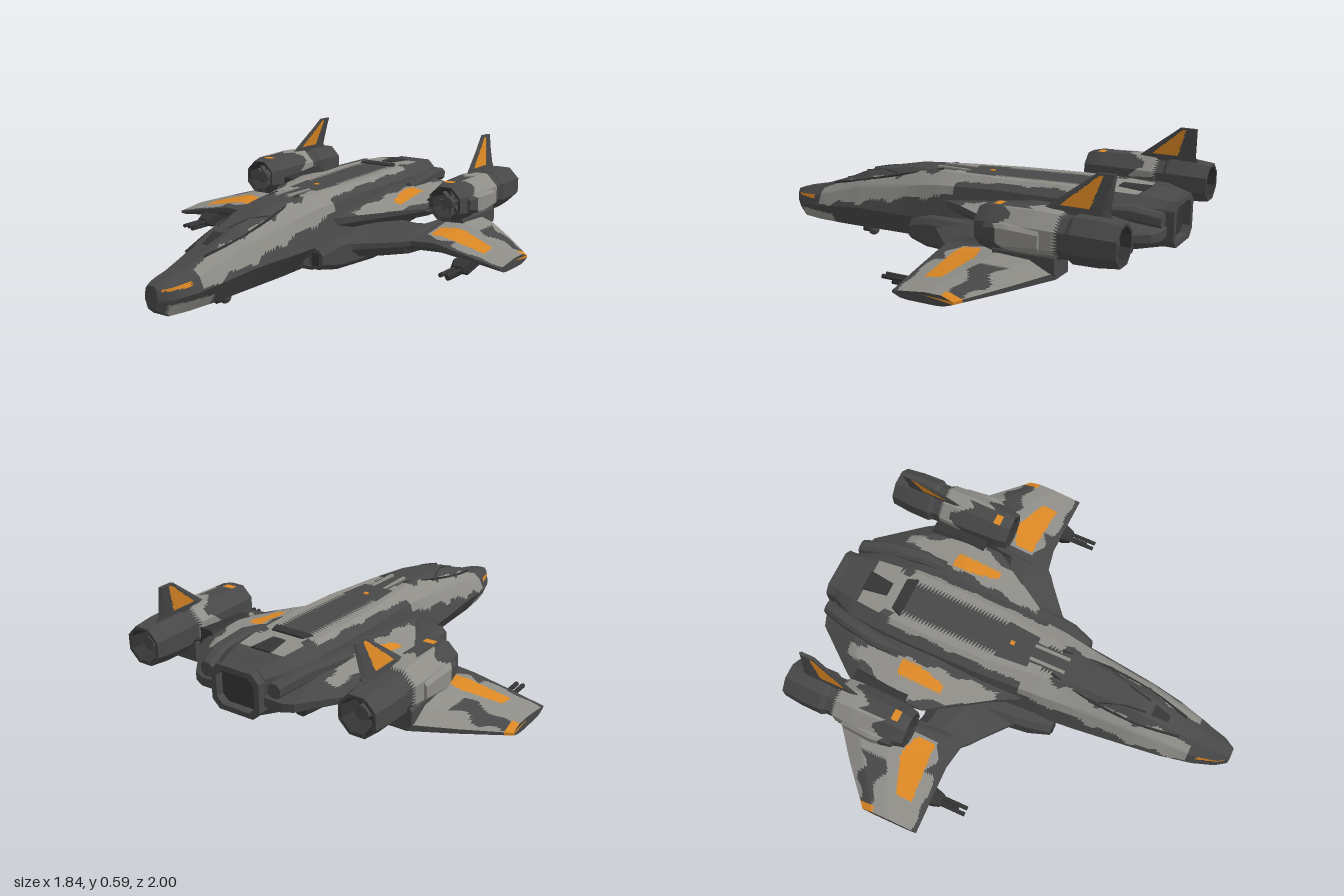
import * as THREE from 'three';
import { toCreasedNormals, mergeGeometries } from 'three/addons/utils/BufferGeometryUtils.js';

const mat = (name, color) => Object.assign(new THREE.MeshStandardMaterial({ color }), { name });
const dark = mat('dark grey', 0x484848), light = mat('light grey', 0x8e8d88),
  orange = mat('orange', 0xdc8824), black = mat('gunmetal', 0x343434);
const PAINT = [dark, light, orange, black];
const DARK = 0, LIGHT = 1, ORANGE = 2, BLACK = 3;
const lerp = THREE.MathUtils.lerp;

// Insert evenly spaced rows between key rows (first column is the station)
function densify(rows, step) {
  const out = [];
  for (let i = 0; i + 1 < rows.length; i++) {
    const n = Math.max(1, Math.round(Math.abs(rows[i + 1][0] - rows[i][0]) / step));
    for (let k = 0; k < n; k++) out.push(rows[i].map((v, c) => lerp(v, rows[i + 1][c], k / n)));
  }
  out.push(rows[rows.length - 1]);
  return out;
}
// Subdivide a closed outline
const subdivide = (pts, n) => pts.flatMap((p, i) => {
  const q = pts[(i + 1) % pts.length];
  return Array.from({ length: n }, (_, k) => p.map((v, c) => lerp(v, q[c], k / n)));
});
// Closed skin through equal rings, capped at both ends and wound outwards
function loft(rings, crease = 0.45) {
  const n = rings[0].length, pos = rings.flat(2), idx = [];
  rings.slice(0, -1).forEach((_, r) => {
    for (let i = 0; i < n; i++) {
      const a = r * n + i, b = r * n + (i + 1) % n;
      idx.push(a, b, a + n, b, b + n, a + n);
    }
  });
  [0, rings.length - 1].forEach((r, end) => {
    const c = pos.length / 3;
    for (let k = 0; k < 3; k++) pos.push(rings[r].reduce((s, p) => s + p[k], 0) / n);
    for (let i = 0; i < n; i++) {
      const a = r * n + i, b = r * n + (i + 1) % n;
      idx.push(...(end ? [a, b, c] : [b, a, c]));
    }
  });
  const P = i => new THREE.Vector3().fromArray(pos, i * 3);
  let volume = 0;
  for (let i = 0; i < idx.length; i += 3) volume += P(idx[i]).dot(P(idx[i + 1]).cross(P(idx[i + 2])));
  if (volume < 0) idx.reverse();
  const g = new THREE.BufferGeometry();
  g.setAttribute('position', new THREE.Float32BufferAttribute(pos, 3));
  g.setIndex(idx);
  return toCreasedNormals(g, crease);
}
// Sort faces into colour groups by a rule on face centre and normal
function paint(g, rule) {
  const buckets = PAINT.map(() => []), p = g.attributes.position;
  const tri = new THREE.Triangle(), c = new THREE.Vector3(), n = new THREE.Vector3();
  for (let i = 0; i < p.count; i += 3) {
    tri.setFromAttributeAndIndices(p, i, i + 1, i + 2);
    tri.getMidpoint(c); tri.getNormal(n);
    buckets[rule(Math.abs(c.x), c.y, c.z, n)].push(i, i + 1, i + 2);
  }
  g.setIndex(buckets.flat());
  let start = 0;
  buckets.forEach((b, m) => { if (b.length) g.addGroup(start, b.length, m); start += b.length; });
  return g;
}
function mirrored(g) {
  const m = g.clone().scale(-1, 1, 1);
  if (!m.index) m.setIndex([...Array(m.attributes.position.count).keys()]);
  m.index.array.reverse();
  const total = m.index.count;
  m.groups.forEach(r => { r.start = total - r.start - r.count; });
  return m;
}
// Box between opposite corners
const box = (x0, x1, y0, y1, z0, z1) => new THREE.BoxGeometry(x1 - x0, y1 - y0, Math.abs(z1 - z0))
  .translate((x0 + x1) / 2, (y0 + y1) / 2, (z0 + z1) / 2);
// Block lofted from rows of z, x0, x1, y0, y1 with bevelled corners
const block = (rows, b = 0.015) => loft(rows.map(([z, x0, x1, y0, y1]) => [
  [x0 + b, y0, z], [x1 - b, y0, z], [x1, y0 + b, z], [x1, y1 - b, z],
  [x1 - b, y1, z], [x0 + b, y1, z], [x0, y1 - b, z], [x0, y0 + b, z]]));
const rod = (x, y, z0, z1, r, s = 8) => new THREE.CylinderGeometry(r, r, Math.abs(z1 - z0), s)
  .rotateX(Math.PI / 2).translate(x, y, (z0 + z1) / 2);
// Thin-edged panel from rows of x, front z, back z, top y, bottom y; rise sets how fast the top climbs
function panel(rows, chord, rise) {
  return loft(densify(rows, 0.014).map(([x, zf, zb, top, bot]) => {
    const mid = (top + bot) / 2, ring = [];
    const at = (t, y, k) => ring.push([x, mid + (y - mid) * Math.min(1, 0.2 + k * t, 0.25 + 4 * (1 - t)), lerp(zf, zb, t)]);
    for (let i = 0; i <= chord; i++) at(i / chord, top, rise);
    for (let i = 8; i >= 0; i--) at(i / 8, bot, 5);
    return ring;
  }));
}

export function createModel() {
  const ship = new THREE.Group();
  ship.name = 'spacecraft';
  const add = (name, g, m = dark) => {
    const o = new THREE.Mesh(g, m);
    o.name = name;
    ship.add(o);
  };
  const pair = (name, g, m) => { add(name + 'Left', g, m); add(name + 'Right', mirrored(g), m); };

  // Fuselage: z, roof half width, roof y, shoulder x, shoulder y, side x, side y, keel half width, keel y
  const hull = densify([
    [1, 0.02, 0.185, 0.03, 0.17, 0.035, 0.13, 0.02, 0.09],
    [0.95, 0.03, 0.2, 0.06, 0.175, 0.068, 0.125, 0.04, 0.055],
    [0.85, 0.035, 0.222, 0.085, 0.185, 0.105, 0.135, 0.06, 0.055],
    [0.7, 0.04, 0.275, 0.1, 0.23, 0.142, 0.16, 0.08, 0.06],
    [0.55, 0.05, 0.338, 0.12, 0.275, 0.165, 0.18, 0.09, 0.065],
    [0.3, 0.06, 0.388, 0.14, 0.315, 0.195, 0.19, 0.11, 0.075],
    [0.1, 0.09, 0.398, 0.165, 0.35, 0.215, 0.2, 0.13, 0.09],
    [-0.2, 0.125, 0.408, 0.185, 0.37, 0.22, 0.25, 0.15, 0.09],
    [-0.5, 0.13, 0.418, 0.19, 0.375, 0.22, 0.25, 0.15, 0.13],
    [-0.7, 0.125, 0.42, 0.185, 0.38, 0.22, 0.26, 0.15, 0.165],
    [-0.85, 0.11, 0.415, 0.17, 0.38, 0.2, 0.27, 0.13, 0.19],
    [-0.96, 0.09, 0.4, 0.12, 0.37, 0.125, 0.26, 0.095, 0.21]], 0.016);
  add('fuselage', paint(loft(hull.map(([z, a, b, c, d, e, f, g, h]) => subdivide([
    [a, b, z], [c, d, z], [e, f, z], [g, h, z], [-g, h, z], [-e, f, z], [-c, d, z], [-a, b, z]], 8))),
  (x, y, z, n) => {
    const wob = 0.008 * Math.sin(z * 31) + 0.004 * Math.sin(z * 67);
    if (z > 0.74 && z < 0.96 && y < 0.105 && x > 0.042) return LIGHT;
    if (n.y < -0.3) return DARK;
    if (z > 0.86 && z < 0.98 && n.y < 0.5 && y > 0.164) return ORANGE;
    if (z > 0) return z < 0.82 && x > 0.055 && y > 0.32 - 0.21 * z + wob && y < 0.425 - 0.22 * z + wob ? LIGHT : DARK;
    if (z > -0.66) return x > 0.08 && x < 0.15 + wob / 2 ? LIGHT : DARK;
    return z > -0.83 && x < 0.11 + wob ? LIGHT : DARK;
  }), PAINT);

  // Canopy frames, brow vent and spine details
  const tube = (pts, r) => new THREE.TubeGeometry(new THREE.CatmullRomCurve3(pts.map(p => new THREE.Vector3(...p))), 12, r, 5);
  pair('canopyRail', tube([[0.05, 0.255, 0.75], [0.085, 0.298, 0.56], [0.09, 0.357, 0.32], [0.06, 0.4, 0.12]], 0.006), black);
  pair('canopyBrace', tube([[0.03, 0.332, 0.57], [0.05, 0.353, 0.46], [0.08, 0.352, 0.36]], 0.005), black);
  add('canopyWindow', block([[0.68, -0.018, 0.018, 0.27, 0.285], [0.6, -0.03, 0.03, 0.3, 0.32]], 0.004), black);
  pair('spineRib', box(0.025, 0.04, 0.385, 0.405, 0.0, 0.17), light);
  add('beacon', box(-0.01, 0.01, 0.4, 0.409, -0.11, -0.09), orange);
  add('dorsalVent', block([[-0.62, -0.1, 0.1, 0.41, 0.425], [-0.67, -0.08, 0.08, 0.41, 0.428]], 0.006), black);
  add('rearHatch', block([[-0.72, -0.035, 0.035, 0.405, 0.424], [-0.84, -0.05, 0.05, 0.4, 0.422]], 0.006), black);

  // Broad upper deck on each side of the spine
  pair('upperDeck', paint(panel([
    [0.12, 0.1, -0.97, 0.36, 0.2], [0.2, 0.02, -0.97, 0.355, 0.2], [0.25, -0.08, -0.95, 0.352, 0.21],
    [0.41, -0.33, -0.75, 0.33, 0.25], [0.43, -0.36, -0.72, 0.315, 0.27]], 60, 1.8), (x, y, z, n) => {
    if (n.y < 0.1) return DARK;
    if (z > -0.53 && z < -0.31 && x < 0.332 && x > 0.258 + 0.25 * Math.max(0, z + 0.44)) return ORANGE;
    const wob = 0.01 * Math.sin(z * 40);
    return z < -0.08 && z > -0.79 && x > 0.21 + 0.1 * (-z - 0.1) + wob && x < 0.37 + 0.04 * Math.sin(z * 10) + wob ? LIGHT : DARK;
  }), PAINT);
  pair('deckRail', block([[-0.55, 0.21, 0.25, 0.33, 0.365], [-0.66, 0.2, 0.265, 0.33, 0.385],
    [-0.85, 0.17, 0.235, 0.33, 0.395], [-0.97, 0.14, 0.2, 0.31, 0.37]]), dark);

  // Drooping wings, rising to the rear, with short swept roots
  pair('wing', paint(panel([
    [0.16, 0.2, -0.42, 0.25, 0.09], [0.3, 0.02, -0.38, 0.245, 0.11], [0.42, -0.08, -0.36, 0.24, 0.125],
    [0.46, -0.11, -0.37, 0.24, 0.13], [0.49, -0.14, -0.7, 0.243, 0.135], [0.6, -0.16, -0.7, 0.245, 0.135],
    [0.75, -0.16, -0.58, 0.205, 0.125], [0.92, -0.16, -0.43, 0.157, 0.112]], 48, 1.5),
  (x, y, z, n) => {
    if (x > 0.895 && z < -0.38 && y > 0.12) return ORANGE;
    if (n.y < 0.1 || x < 0.52) return DARK;
    if (x > 0.53 && x < 0.81 && z < -0.24 + 0.04 * (x - 0.67)
      && z > -0.365 + 0.35 * Math.max(0, x - 0.65) + 0.4 * Math.max(0, 0.61 - x)) return ORANGE;
    const wob = 0.015 * Math.sin(x * 45) + 0.01 * Math.sin(z * 50);
    if (z > -0.18 + wob / 2 || (x < 0.66 && z > -0.23 + wob)) return DARK;
    return z < -0.4 + wob && z > -0.52 + 0.25 * (x - 0.7) + wob && x > 0.69 ? DARK : LIGHT;
  }), PAINT);

  // Wing cannons
  pair('cannonMount', block([[-0.12, 0.705, 0.765, 0.1, 0.13], [-0.16, 0.695, 0.775, 0.085, 0.15], [-0.34, 0.71, 0.76, 0.105, 0.16]], 0.008), black);
  pair('cannonBarrels', mergeGeometries([rod(0.72, 0.115, -0.15, 0, 0.01), rod(0.75, 0.115, -0.15, 0, 0.01),
    rod(0.735, 0.095, -0.15, -0.04, 0.012)]), black);

  // Engine nacelles: hollow octagons of z and radius
  const nacelle = [[-0.46, 0.06], [-0.36, 0.07], [-0.35, 0.086], [-0.4, 0.099], [-0.6, 0.106], [-0.69, 0.102],
    [-0.71, 0.09], [-0.74, 0.09], [-0.76, 0.102], [-0.86, 0.1], [-0.95, 0.09], [-0.95, 0.075], [-0.86, 0.06]];
  pair('nacelle', paint(loft(densify(nacelle, 0.016).map(([z, r]) => subdivide(
    Array.from({ length: 8 }, (_, i) => {
      const a = (i + 0.5) * Math.PI / 4;
      return [0.54 + r * Math.cos(a), 0.336 + r * Math.sin(a), z];
    }), 6))), (x, y, z) => {
    const r = Math.hypot(x - 0.54, y - 0.336);
    if (r < 0.077 && (z > -0.47 || z < -0.85)) return BLACK;
    if (y > 0.42 && z > -0.43 && z < -0.4 && Math.abs(x - 0.525) < 0.025) return ORANGE;
    const wob = 0.03 * Math.sin(x * 50) + 0.02 * Math.sin(y * 60);
    return y > 0.26 && z < -0.46 + wob && z > -0.7 && (x > 0.56 + wob || z < -0.6 + wob) ? LIGHT : DARK;
  }), PAINT);
  const spokes = [rod(0.54, 0.336, -0.46, -0.375, 0.028, 10), rod(0.54, 0.336, -0.85, -0.92, 0.03, 10)];
  for (let i = 0; i < 4; i++) spokes.push(new THREE.BoxGeometry(0.13, 0.008, 0.03).rotateZ(i * Math.PI / 4).translate(0.54, 0.336, -0.42));
  pair('turbine', mergeGeometries(spokes), dark);
  pair('nacellePylon', block([[-0.42, 0.5, 0.6, 0.17, 0.27], [-0.7, 0.49, 0.62, 0.19, 0.28]]), dark);
  pair('nacelleStrut', block([[-0.44, 0.39, 0.47, 0.28, 0.33], [-0.7, 0.38, 0.47, 0.27, 0.35]]), black);
  pair('nacelleCowl', paint(block(densify([[-0.4, 0.58, 0.645, 0.3, 0.37], [-0.5, 0.595, 0.66, 0.28, 0.38],
    [-0.64, 0.585, 0.65, 0.29, 0.37]], 0.02)), (x, y, z) => (z < -0.46 + 0.3 * (y - 0.33) ? LIGHT : DARK)), PAINT);

  // Swept fins leaning inwards, with a coloured panel on both faces
  const fin = densify([[0.4, -0.57, -0.9], [0.45, -0.63, -0.88], [0.588, -0.81, -0.89]], 0.006).map(([y, zf, zb]) => {
    const x = 0.52 - 0.2 * (y - 0.41), t = 0.008;
    return subdivide([[x, y, zf], [x + t, y, lerp(zf, zb, 0.12)], [x + t, y, lerp(zf, zb, 0.9)], [x, y, zb],
      [x - t, y, lerp(zf, zb, 0.9)], [x - t, y, lerp(zf, zb, 0.12)]], 16);
  });
  pair('fin', paint(loft(fin), (x, y, z) => {
    const k = (y - 0.448) / 0.13;
    return k > 0 && k < 1 && z < lerp(-0.67, -0.82, k) && z > lerp(-0.795, -0.838, k) ? ORANGE : DARK;
  }), PAINT);

  // Side intakes and belly pods
  pair('sideIntake', block([[0.2, 0.18, 0.25, 0.1, 0.19], [0.1, 0.18, 0.28, 0.085, 0.22],
    [-0.15, 0.18, 0.31, 0.085, 0.23], [-0.32, 0.18, 0.3, 0.09, 0.23], [-0.42, 0.18, 0.28, 0.14, 0.24]], 0.025), dark);
  pair('intakeMouth', box(0.195, 0.235, 0.115, 0.175, 0.197, 0.205), black);
  pair('bellyPod', block([[0.22, 0.08, 0.16, 0.1, 0.16], [0.16, 0.07, 0.18, 0.08, 0.16],
    [-0.25, 0.07, 0.18, 0.082, 0.16], [-0.36, 0.08, 0.16, 0.1, 0.16]]), dark);
  pair('landingDoor', box(0.02, 0.06, 0.135, 0.16, -0.62, -0.42), black);
  pair('bellyRib', block([[-0.45, 0.2, 0.27, 0.17, 0.25], [-0.85, 0.17, 0.23, 0.19, 0.26]]), black);

  // Chin turret
  add('turretNeck', new THREE.CylinderGeometry(0.032, 0.022, 0.045, 10).translate(0, 0.052, 0.565), black);
  add('turretBall', new THREE.SphereGeometry(0.029, 10, 8).translate(0, 0.029, 0.565), dark);
  add('turretGun', rod(0, 0.026, 0.56, 0.62, 0.015), black);
  add('turretHousing', block([[0.68, -0.03, 0.03, 0.05, 0.09], [0.4, -0.05, 0.05, 0.065, 0.1]], 0.01), dark);

  // Main engine: hollow octagonal frame with a recessed core
  const octagon = (P, w, h, b) => {
    const p = new P();
    [[-w + b, -h], [w - b, -h], [w, -h + b], [w, h - b], [w - b, h], [-w + b, h], [-w, h - b], [-w, -h + b]]
      .forEach(([x, y], i) => (i ? p.lineTo(x, y) : p.moveTo(x, y)));
    p.closePath();
    return p;
  };
  const frame = octagon(THREE.Shape, 0.12, 0.098, 0.035);
  frame.holes.push(octagon(THREE.Path, 0.095, 0.075, 0.028));
  add('mainNozzle', new THREE.ExtrudeGeometry(frame, { depth: 0.1, bevelEnabled: false }).translate(0, 0.302, -1), dark);
  add('nozzleCore', box(-0.096, 0.096, 0.227, 0.377, -0.965, -0.94), black);
  return ship;
}
